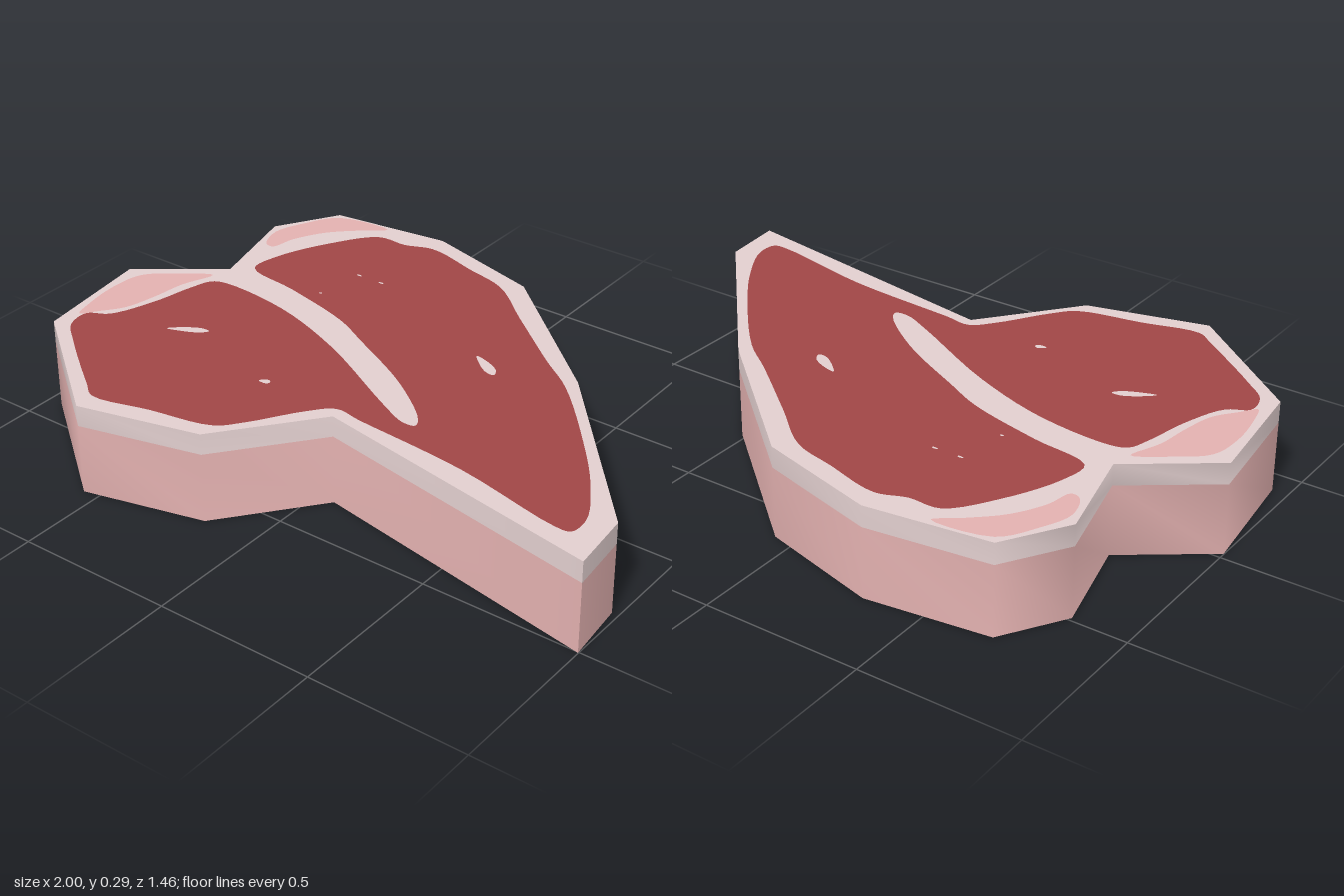
import * as THREE from 'three';
import { toCreasedNormals } from 'three/addons/utils/BufferGeometryUtils.js';

const GAP = 0.002, RIND_TOP = 0.225, TOP = 0.292;

// Points are [x, z]; shapes are drawn in x, -z and laid flat.
const flat = (pts) => pts.map(([x, z]) => new THREE.Vector2(x, -z));
const lay = (geo, y) => geo.rotateX(-Math.PI / 2).translate(0, y, 0);

// Smooth closed loop through a few points
function loop(pts) {
  const curve = new THREE.CatmullRomCurve3(
    pts.map(([x, z]) => new THREE.Vector3(x, -z, 0)), true, 'centripetal');
  return curve.getPoints(pts.length * 5).slice(0, -1).map((p) => new THREE.Vector2(p.x, p.y));
}

// Small pointed streak of fat inside the meat
function streak(x, z, length, width, angle) {
  const c = Math.cos(angle), s = Math.sin(angle);
  const local = [[-0.5, 0.1], [-0.2, 0.4], [0.3, 0.5], [0.5, 0.1], [0.3, -0.4], [-0.2, -0.3]];
  return new THREE.Path(loop(local.map(([u, v]) => [
    x + u * length * c - v * width * s, z + u * length * s + v * width * c])));
}

const OUTLINE = [
  [-1, 0.02], [-0.745, -0.17], [-0.825, -0.49], [-0.705, -0.685], [-0.32, -0.735],
  [0.065, -0.63], [0.515, -0.235], [0.98, 0.305], [1, 0.505], [0.065, 0.335],
  [-0.17, 0.63], [-0.55, 0.725], [-0.95, 0.41],
];

// Large lobe, from the inner end of the fat seam round to the notch
const LARGE_LOBE = [
  [0.27, 0.21], [0.11, 0.08], [-0.13, -0.05], [-0.26, -0.115], [-0.5, -0.18], [-0.685, -0.22],
  [-0.68, -0.32], [-0.6, -0.5], [-0.5, -0.63], [-0.4, -0.635], [-0.31, -0.665], [-0.13, -0.62],
  [0.01, -0.58], [0.17, -0.45], [0.38, -0.28], [0.5, -0.19], [0.7, 0.03], [0.83, 0.2],
  [0.91, 0.35], [0.905, 0.415], [0.86, 0.42], [0.51, 0.345], [0.14, 0.31],
];
// Small lobe, from the notch round and back along the seam
const SMALL_LOBE = [
  [0.05, 0.3], [-0.01, 0.36], [-0.11, 0.51], [-0.17, 0.575], [-0.37, 0.62], [-0.55, 0.66],
  [-0.61, 0.62], [-0.82, 0.46], [-0.895, 0.39], [-0.905, 0.315], [-0.845, 0.275], [-0.79, 0.14],
  [-0.76, 0], [-0.735, -0.07], [-0.69, -0.088], [-0.45, -0.065], [-0.18, 0.03], [0.14, 0.2],
  [0.24, 0.245], [0.28, 0.24],
];

const PATCHES = [
  [[-0.51, -0.69], [-0.69, -0.665], [-0.76, -0.56], [-0.795, -0.46], [-0.765, -0.375],
    [-0.735, -0.37], [-0.715, -0.45], [-0.66, -0.55], [-0.58, -0.63]],
  [[-0.76, -0.105], [-0.85, -0.05], [-0.94, 0.03], [-0.957, 0.14], [-0.94, 0.27],
    [-0.92, 0.33], [-0.885, 0.285], [-0.835, 0.215], [-0.81, 0.11], [-0.795, 0]],
];

export function createModel() {
  const group = new THREE.Group();
  const material = (name, color, side = THREE.FrontSide) => {
    const m = new THREE.MeshStandardMaterial({ color, side });
    m.name = name;
    return m;
  };
  const meat = material('red meat', 0xa04646, THREE.DoubleSide);
  const fat = material('pale fat', 0xe2cfcf);
  const rind = material('pink rind', 0xe3b1b0, THREE.DoubleSide);

  const add = (name, geo, mat) => {
    const mesh = new THREE.Mesh(geo, mat);
    mesh.name = name;
    group.add(mesh);
  };

  // Slab: pink rind below, pale fat band above, pale faces
  const slab = (y0, y1) => toCreasedNormals(lay(new THREE.ExtrudeGeometry(
    new THREE.Shape(flat(OUTLINE)), { depth: y1 - y0, bevelEnabled: false }), y0), 1.4);
  add('rindSlab', slab(GAP, RIND_TOP), [fat, rind]);
  add('fatBand', slab(RIND_TOP, TOP), [fat, fat]);

  // Meat with streaks of fat left open
  const meatShape = new THREE.Shape(loop([...LARGE_LOBE, ...SMALL_LOBE]));
  meatShape.holes.push(
    streak(0.25, -0.155, 0.12, 0.035, 0.55),
    streak(-0.59, 0.205, 0.13, 0.03, -0.5),
    streak(-0.21, 0.302, 0.035, 0.022, -0.3),
    streak(-0.39, -0.38, 0.02, 0.008, 0),
    streak(-0.305, -0.38, 0.02, 0.008, 0),
    streak(-0.415, -0.215, 0.012, 0.008, 0),
  );

  // Same markings on the upper and lower faces
  for (const [side, y] of [['top', TOP + GAP], ['bottom', 0]]) {
    add(side + 'Meat', lay(new THREE.ShapeGeometry(meatShape), y), meat);
    PATCHES.forEach((pts, i) => add(side + 'FatPatch' + (i + 1),
      lay(new THREE.ShapeGeometry(new THREE.Shape(loop(pts))), y), rind));
  }
  return group;
}
